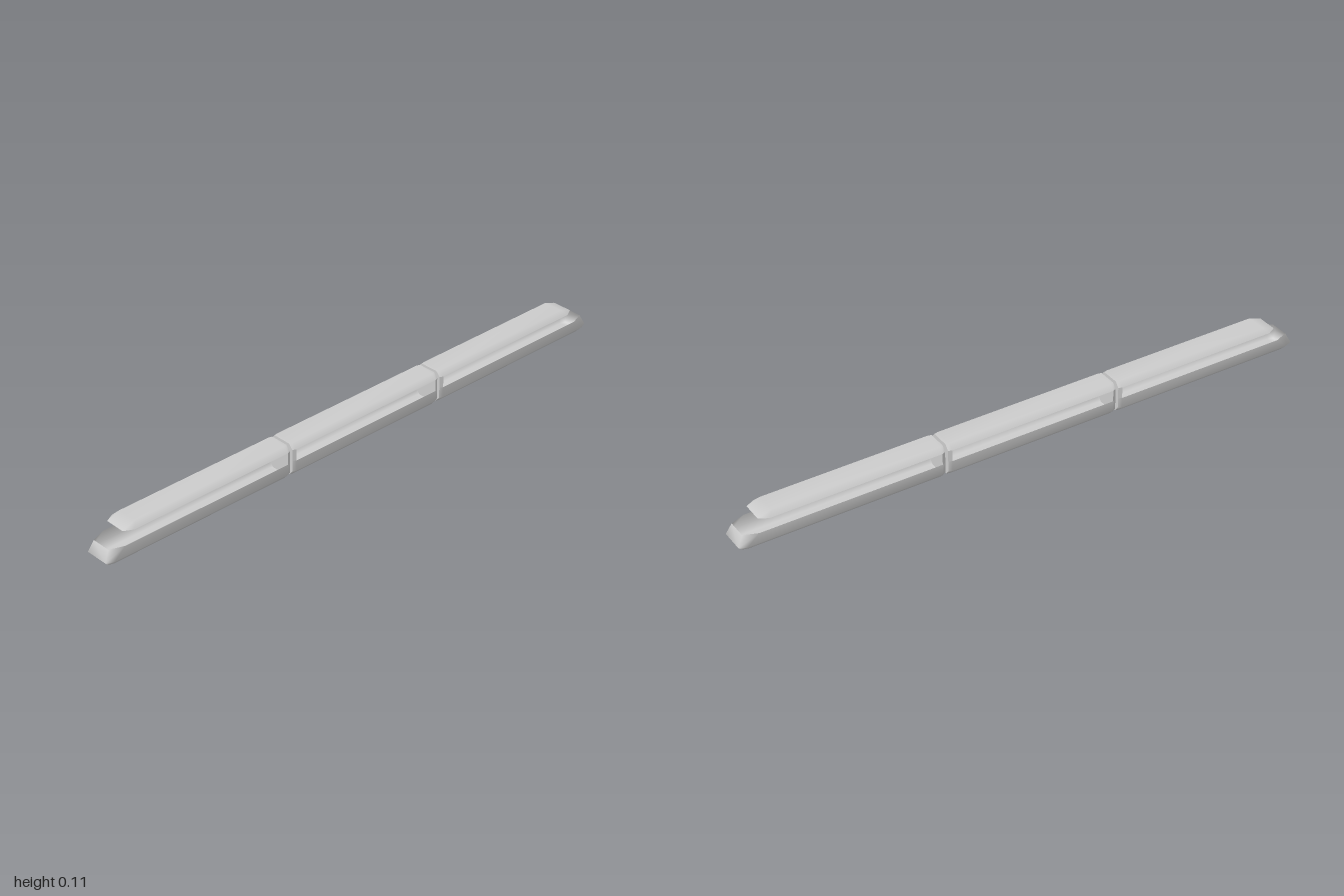
import * as THREE from 'three';
import { mergeGeometries, mergeVertices } from 'three/addons/utils/BufferGeometryUtils.js';

const material = new THREE.MeshStandardMaterial({ color: 0xcccccc, side: THREE.DoubleSide });

// Half outlines as [x, y]
const SILL = [0.051, 0.053], BELT = [0.051, 0.018], KEEL = [0.035, 0];
const EAVE = [0.051, 0.092], RIDGE = [0.035, 0.108];
const SHRINK = 0.9;   // taper of the car ends
const BEVEL = 0.012;  // length of that taper

// Skin through stations, each a list of [x, y, z]
function loft(stations) {
  const n = stations[0].length, index = [];
  for (let i = 0; i < stations.length - 1; i++) {
    for (let j = 0; j < n - 1; j++) {
      const a = i * n + j, b = a + 1, c = a + n, d = c + 1;
      index.push(a, b, c, b, d, c);
    }
  }
  const g = new THREE.BufferGeometry();
  g.setAttribute('position', new THREE.Float32BufferAttribute(stations.flat(2), 3));
  g.setIndex(index);
  return g;
}

// Smooth skin welded from several lofts
function smooth(...parts) {
  const g = mergeVertices(mergeGeometries(parts), 1e-5);
  g.computeVertexNormals();
  return g;
}

const mesh = (name, geometry) => {
  const m = new THREE.Mesh(geometry, material);
  m.name = name;
  return m;
};

// Half section [x, y, z] from the -x side mirrored to the +x side
const mirror = (half) => [...half.map(([x, y, z]) => [-x, y, z]), ...[...half].reverse()];
const at = (half, z, s = 1) => half.map(([x, y]) => [x * s, y, z]);
const hullAt = (z, s) => mirror(at([SILL, BELT, KEEL], z, s));
const roofAt = (z, s) => mirror(at([EAVE, RIDGE], z, s)).reverse();

// Bulkhead closing a car end at z; dir is the way it faces
function bulkhead(z, dir) {
  const half = [RIDGE, EAVE, SILL, BELT, KEEL];
  const ring = (zz, s) => {
    const r = mirror(at(half, zz, s));
    return [...r, r[0]];
  };
  const stations = [ring(z - dir * BEVEL, 1), ring(z, SHRINK)];
  if (dir < 0) stations.reverse();
  const rim = loft(stations).toNonIndexed();
  const face = loft([...half].reverse().map(([x, y]) =>
    [[-dir * x * SHRINK, y, z], [dir * x * SHRINK, y, z]])).toNonIndexed();
  const g = mergeGeometries([rim, face]);
  g.computeVertexNormals();
  return mesh('bulkhead', g);
}

function middleCar() {
  const car = new THREE.Group();
  car.name = 'middleCar';
  const z = 0.303;
  const along = [[-z, SHRINK], [-z + BEVEL, 1], [z - BEVEL, 1], [z, SHRINK]];
  car.add(
    mesh('lowerHull', smooth(loft(along.map((p) => hullAt(...p))))),
    mesh('roof', smooth(loft(along.map((p) => roofAt(...p))))),
    bulkhead(z, 1), bulkhead(-z, -1));
  return car;
}

function endCar(name) {
  const car = new THREE.Group();
  car.name = name;
  const z = 0.313;

  // Lower hull narrowing into a wedge nose
  const shoulder = [[...SILL, 0.935], [...BELT, 0.975], [...KEEL, 0.965]];
  const tip = [[0.033, 0.053, 0.982], [0.04, 0.018, 1], [0.03, 0, 0.985]];
  const sides = loft([hullAt(z, SHRINK), hullAt(z + BEVEL), mirror(shoulder), mirror(tip)]);
  const nose = loft([...tip].reverse().map((p) => mirror([p])));

  // Roof sloping down to a clipped front edge
  const clip = [0.035, 0.092, 0.93];
  const roof = loft([
    roofAt(z, SHRINK), roofAt(z + BEVEL),
    mirror([[...EAVE, 0.9], [...RIDGE, 0.885]]).reverse(),
    mirror([clip, clip]).reverse()]);

  car.add(mesh('lowerHull', smooth(sides, nose)), mesh('roof', smooth(roof)), bulkhead(z, -1));
  return car;
}

export function createModel() {
  const train = new THREE.Group();
  train.name = 'train';
  const rear = endCar('rearCar');
  rear.rotation.y = Math.PI;
  train.add(endCar('frontCar'), middleCar(), rear);
  return train;
}
